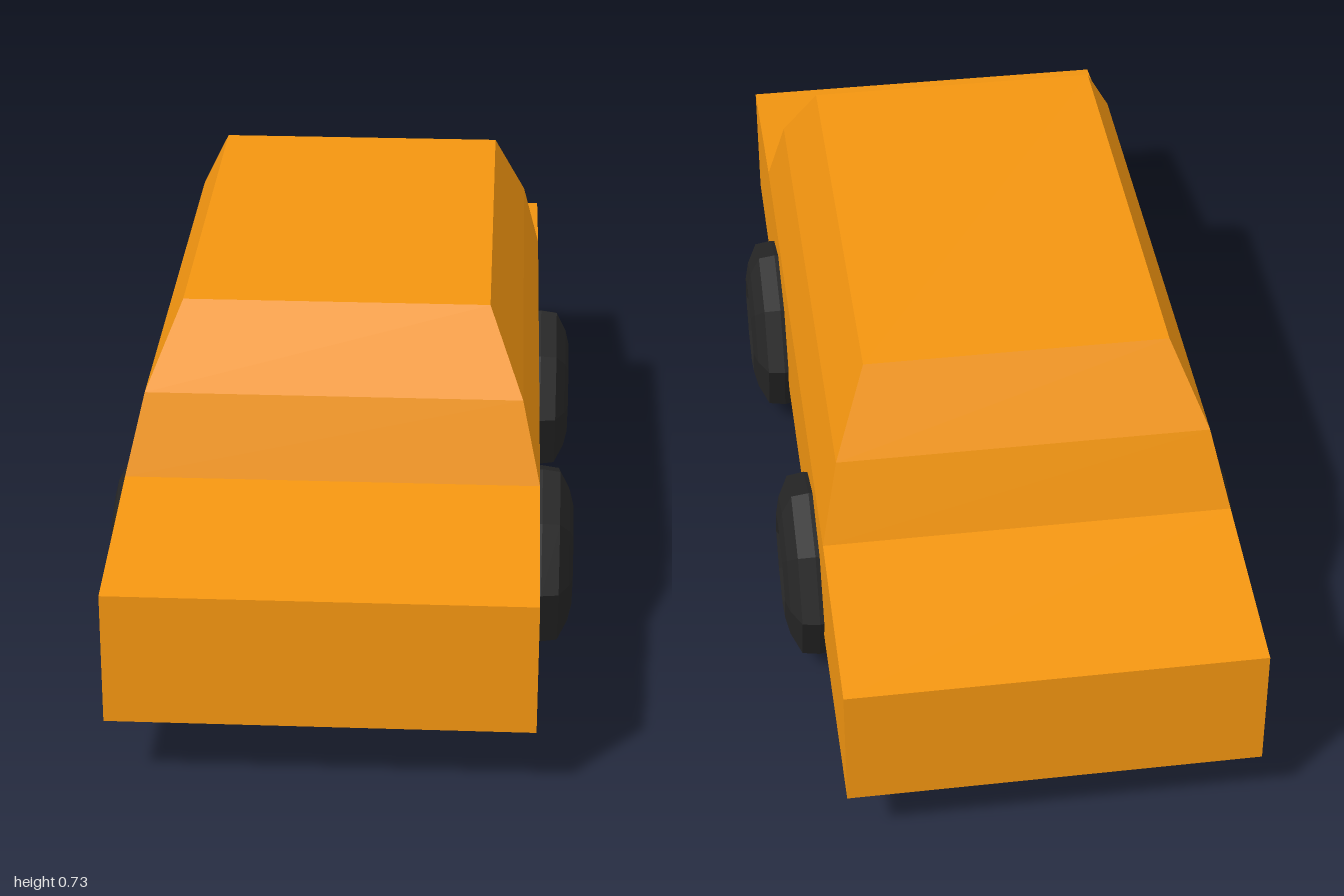
import * as THREE from 'three';

const paint = new THREE.MeshStandardMaterial({ color: 0xf39510, flatShading: true });
const rubber = new THREE.MeshStandardMaterial({ color: 0x262626, flatShading: true });

function part(name, geometry, material) {
  const mesh = new THREE.Mesh(geometry, material);
  mesh.name = name;
  return mesh;
}

// Lower body: side profile (z, y) extruded across the width
function lowerBody() {
  const profile = [[-1, 0.135], [1, 0.135], [1, 0.39], [0.61, 0.435], [-0.635, 0.435], [-1, 0.39]];
  const shape = new THREE.Shape(profile.map(([z, y]) => new THREE.Vector2(z, y)));
  const geometry = new THREE.ExtrudeGeometry(shape, { depth: 0.78, bevelEnabled: false });
  geometry.rotateY(-Math.PI / 2).translate(0.38, 0, 0);
  return part('lowerBody', geometry, paint);
}

// Cabin: a box with three levels, each level moved to its own rectangle
function cabin() {
  const levels = [
    { y: 0.435, halfWidth: 0.39, back: -0.635, front: 0.61 },
    { y: 0.585, halfWidth: 0.355, back: -0.575, front: 0.555 },
    { y: 0.733, halfWidth: 0.29, back: -0.475, front: 0.45 },
  ];
  const geometry = new THREE.BoxGeometry(2, 2, 2, 1, 2, 1);
  const pos = geometry.attributes.position;
  for (let i = 0; i < pos.count; i++) {
    const level = levels[Math.round(pos.getY(i)) + 1];
    pos.setXYZ(i, -0.01 + pos.getX(i) * level.halfWidth, level.y,
      pos.getZ(i) > 0 ? level.front : level.back);
  }
  geometry.computeVertexNormals();
  return part('cabin', geometry, paint);
}

// Wheel: eight-sided tyre with a recessed hub on both faces
function wheelGeometry() {
  const half = [[0, 0.03], [0.08, 0.03], [0.09, 0.055], [0.103, 0.062], [0.137, 0.054], [0.177, 0.034]];
  const points = [
    ...half.map(([r, x]) => new THREE.Vector2(r, -x)),
    new THREE.Vector2(0.182, 0),
    ...half.reverse().map(([r, x]) => new THREE.Vector2(r, x)),
  ];
  return new THREE.LatheGeometry(points, 8).rotateZ(-Math.PI / 2);
}

export function createModel() {
  const car = new THREE.Group();
  car.name = 'car';
  car.add(lowerBody(), cabin());

  const geometry = wheelGeometry();
  for (const [end, z] of [['front', 0.395], ['rear', -0.4]]) {
    for (const [side, x] of [['Left', 0.388], ['Right', -0.388]]) {
      const wheel = part(`${end}${side}Wheel`, geometry, rubber);
      wheel.position.set(x, 0.184, z);
      car.add(wheel);
    }
  }
  return car;
}
